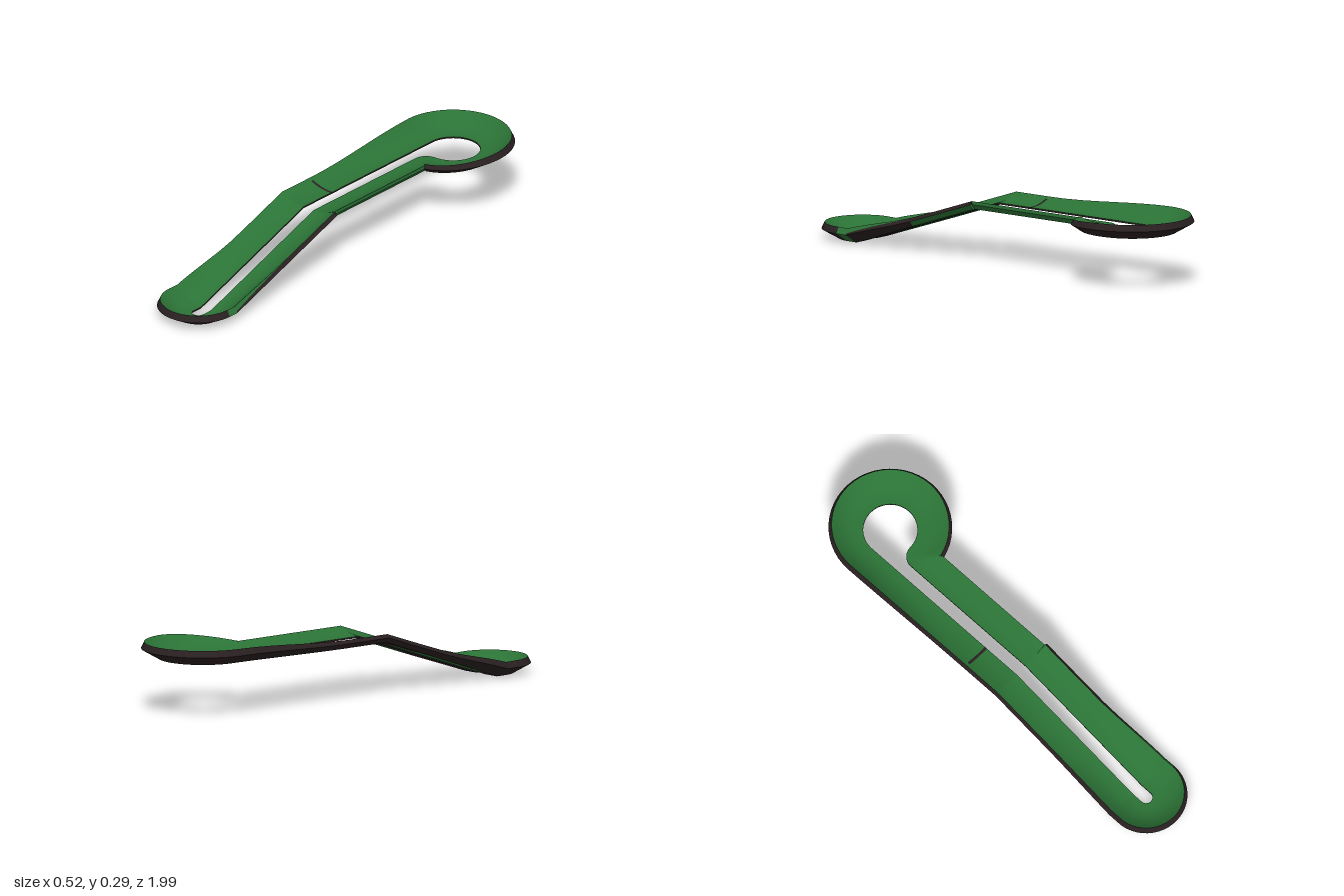
import * as THREE from 'three';
import { toCreasedNormals } from 'three/addons/utils/BufferGeometryUtils.js';

const RING = { x: 0, z: -0.738, inner: 0.115, outer: 0.262 };
const END = { x: -0.088, z: 0.82, inner: 0.027, outer: 0.175 };
const STOPS = [-0.738, -0.66, -0.58, -0.5, -0.42, -0.34, -0.26, -0.16, -0.086, -0.074, 0.1, 0.101,
  0.2, 0.3, 0.43, 0.5, 0.56, 0.62, 0.68, 0.73, 0.77, 0.82];
// Faces of the cross-section, counted from the slot edge over the top and round
const DISH = 9; // points across the concave upper face
const UPPER_WALL = DISH - 1, LOWER_WALL = DISH, CHAMFER = DISH + 1, UNDER_OUT = DISH + 2, UNDER_IN = DISH + 3;

const smooth = THREE.MathUtils.smoothstep;
const between = (z, a, b) => z > a && z < b;
// Height of the underside: upper flat, ramp, lower flat
const baseY = z => 0.225 * (1 - THREE.MathUtils.clamp((z - 0.1) / 0.67, 0, 1));
// How flared the rim is: 0 on the arms, 1 on the round ends
const flare = z => z > 0 ? smooth(z, 0.38, 0.82) : 1 - smooth(z, -0.76, -0.1);

// A section runs from the slot edge to the outer edge; rim is where the dish stops
const section = (ix, iz, ox, oz, t, arm, rim = 0.91, split = 0.5) => ({ ix, iz, ox, oz, t, arm, rim, split });

function buildPath() {
  const path = [];
  // Ring head, from its open end round to the left arm
  for (let i = 0; i <= 36; i++) {
    const deg = 78 - 258 * i / 36;
    const a = THREE.MathUtils.degToRad(deg);
    const b = THREE.MathUtils.degToRad(deg + 12 * Math.max(0, 1 - i / 6));
    path.push(section(RING.x + RING.inner * Math.cos(b), RING.z + RING.inner * Math.sin(b),
      RING.x + RING.outer * Math.cos(a), RING.z + RING.outer * Math.sin(a),
      1 - smooth(deg, -10, 95), 'ring'));
  }
  // Left arm
  for (const z of STOPS.slice(1)) {
    const t = flare(z);
    path.push(section(-0.115, z, -0.25 - 0.012 * t, z, t, 'left'));
  }
  // Rounded lower end
  for (let i = 1; i <= 24; i++) {
    const a = Math.PI * (1 - i / 24);
    path.push(section(END.x + END.inner * Math.cos(a), END.z + END.inner * Math.sin(a),
      END.x + END.outer * Math.cos(a), END.z + END.outer * Math.sin(a), 1, 'end'));
  }
  // Right arm, back up to the ring: flared wall on the ramp, upright on the flat
  for (const z of STOPS.slice(3, -1).reverse()) {
    const ramp = z > 0.1, t = ramp ? flare(z) : 0;
    const split = ramp ? THREE.MathUtils.clamp((z - 0.43) / 0.45, 0, 0.75) : 0.5;
    path.push(section(-0.061, z, ramp ? 0.07 + 0.017 * t : 0.056, z, t, 'right', ramp ? 0.91 : 1, split));
  }
  // Rounded inner corner joining the arm to the ring
  for (let i = 0; i <= 6; i++) {
    const a = Math.PI / 2 * i / 6;
    path.push(section(-0.061 * Math.cos(a), -0.565 - 0.058 * Math.sin(a), 0.056, -0.5, 0.03, 'right', 1));
  }
  return path;
}

// Closed cross-section: dish, rim, outer wall, chamfer, underside
function profile(s) {
  const h = 0.037 + 0.033 * s.t;
  const at = (u, y) => {
    const x = s.ix + (s.ox - s.ix) * u, z = s.iz + (s.oz - s.iz) * u;
    return new THREE.Vector3(x, baseY(z) + y, z);
  };
  const pts = [];
  for (let j = 0; j < DISH; j++) {
    const u = j / (DISH - 1);
    pts.push(at(u * s.rim, 0.007 + (h - 0.007) * Math.pow(Math.max(0, (u - 0.08) / 0.92), 2.1)));
  }
  const rim = at(s.rim, h), outer = at(1, h * 0.6);
  pts.push(rim.lerp(outer, s.split), outer, at(0.85 - 0.35 * s.t, 0), at(0.48 - 0.12 * s.t, 0), at(0, 0));
  return pts;
}

// Green panels on the outer wall and underside
function isGreenPanel(arm, z, j) {
  if (j < UPPER_WALL || j > UNDER_IN) return false;
  if (arm === 'right') {
    if (z > 0.77) return true;
    if (between(z, 0.43, 0.77)) return j === UPPER_WALL;
    if (between(z, 0.1, 0.43)) return j === CHAMFER || j === UNDER_OUT;
    return z > -0.49 && (j !== UNDER_IN || z > -0.26);
  }
  if (arm === 'left') {
    if (j === UNDER_IN) return between(z, 0.2, 0.68) || between(z, -0.66, -0.26);
    return j === UNDER_OUT && between(z, 0.3, 0.68);
  }
  return false;
}

function makeMesh(name, positions, material) {
  const g = new THREE.BufferGeometry();
  g.setAttribute('position', new THREE.Float32BufferAttribute(positions, 3));
  const mesh = new THREE.Mesh(toCreasedNormals(g, 0.3), material);
  mesh.name = name;
  return mesh;
}

export function createModel() {
  const green = new THREE.MeshStandardMaterial({ color: 0x2b7336 });
  green.name = 'green';
  const dark = new THREE.MeshStandardMaterial({ color: 0x2a2021 });
  dark.name = 'dark brown';

  const path = buildPath();
  const rings = path.map(profile);
  const dish = [], shell = [], panels = [], slit = [];
  rings.forEach((p, i) => {
    const k = (i + 1) % rings.length, q = rings[k], arm = path[k].arm;
    const z = (path[i].oz + path[k].oz) / 2;
    for (let j = 0; j < p.length; j++) {
      const n = (j + 1) % p.length;
      let out = isGreenPanel(arm, z, j) ? panels : shell;
      // Narrow dark slit across the left arm
      if (j < UPPER_WALL) out = arm === 'left' && between(z, -0.086, -0.074) && j < 7 ? slit : dish;
      for (const v of [p[j], p[n], q[n], p[j], q[n], q[j]]) out.push(v.x, v.y, v.z);
    }
  });

  const model = new THREE.Group();
  model.name = 'hookedTrack';
  model.add(makeMesh('dishedTrack', dish, green),
    makeMesh('outerShell', shell, dark),
    makeMesh('greenPanels', panels, green),
    makeMesh('crossSlit', slit, dark));
  return model;
}
